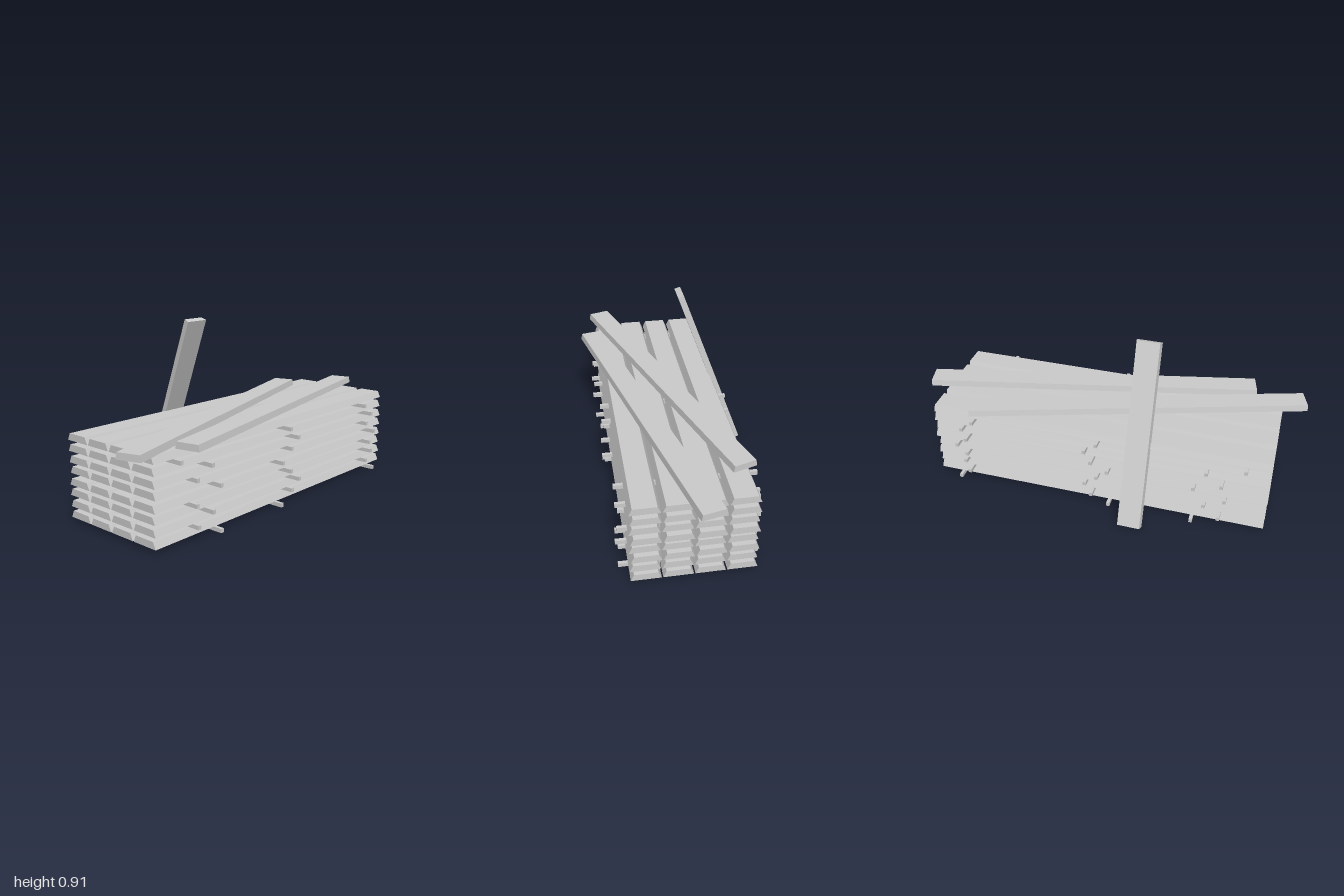
import * as THREE from 'three';

const material = new THREE.MeshStandardMaterial({ color: 0xcccccc, flatShading: true });

const STICK = 0.02;   // spacer height
const BOARD = 0.0335; // board thickness
const PITCH = STICK + BOARD;

// Board lying along x, wide face at the bottom and narrower face on top
function boardGeometry(length, bottom, top, thickness) {
  const b = bottom / 2, t = top / 2, h = thickness / 2;
  const section = new THREE.Shape([
    new THREE.Vector2(-b, -h), new THREE.Vector2(b, -h),
    new THREE.Vector2(t, h), new THREE.Vector2(-t, h),
  ]);
  const geometry = new THREE.ExtrudeGeometry(section, { depth: length, bevelEnabled: false });
  geometry.translate(0, 0, -length / 2);
  geometry.rotateY(Math.PI / 2);
  return geometry;
}

function addMesh(parent, name, geometry, x, y, z, yaw = 0) {
  const mesh = new THREE.Mesh(geometry, material);
  mesh.name = name;
  mesh.position.set(x, y, z);
  mesh.rotation.y = yaw;
  parent.add(mesh);
  return mesh;
}

// Per layer: x of the three spacers, spacer z shift, board x shift, board z shift
const layers = [
  { sticks: [-0.51, -0.075, 0.755], stickZ: 0.035, x: 0.003, z: 0 },
  { sticks: [-0.647, 0.015, 0.695], stickZ: 0.028, x: 0.002, z: 0.003 },
  { sticks: [-0.567, 0.053, 0.72], stickZ: 0.042, x: 0.005, z: -0.003 },
  { sticks: [-0.668, -0.01, 0.706], stickZ: 0.04, x: 0, z: 0.004 },
  { sticks: [-0.51, -0.068, 0.755], stickZ: 0.035, x: 0.01, z: -0.002 },
  { sticks: [-0.647, 0.015, 0.695], stickZ: 0.023, x: 0.003, z: 0.003 },
  { sticks: [-0.567, 0.053, 0.72], stickZ: 0.036, x: 0.005, z: -0.002 },
  { sticks: [-0.755, -0.01, 0.657], stickZ: 0.035, x: 0.002, z: 0 },
];

export function createModel() {
  const model = new THREE.Group();
  model.name = 'lumberStack';

  const board = boardGeometry(1.752, 0.14, 0.11, BOARD);
  const stick = new THREE.BoxGeometry(0.017, STICK, 0.66);

  // Alternating layers of spacers and boards
  layers.forEach((layer, i) => {
    const group = new THREE.Group();
    group.name = `layer${i + 1}`;
    group.position.y = i * PITCH;
    for (const x of layer.sticks) addMesh(group, 'spacerStick', stick, x, STICK / 2, layer.stickZ);
    for (let k = 0; k < 4; k++) {
      const z = 0.25 - k * 0.1465 + layer.z;
      addMesh(group, 'stackedBoard', board, layer.x, STICK + BOARD / 2, z);
    }
    model.add(group);
  });

  // Two loose boards lying askew on top
  const loose = boardGeometry(1.742, 0.122, 0.11, 0.032);
  const topY = layers.length * PITCH + 0.016;
  addMesh(model, 'looseBoardBack', loose, -0.148, topY, 0.028, 0.304);
  addMesh(model, 'looseBoardFront', loose, 0.135, topY, 0.164, 0.222);

  // Shorter board leaning against the back
  const leaning = boardGeometry(0.954, 0.126, 0.114, 0.031);
  leaning.rotateZ(Math.PI / 2);
  leaning.rotateY(-Math.PI / 2);
  leaning.rotateX(THREE.MathUtils.degToRad(20));
  addMesh(model, 'leaningBoard', leaning, -0.218, 0.4545, -0.2475);

  return model;
}
